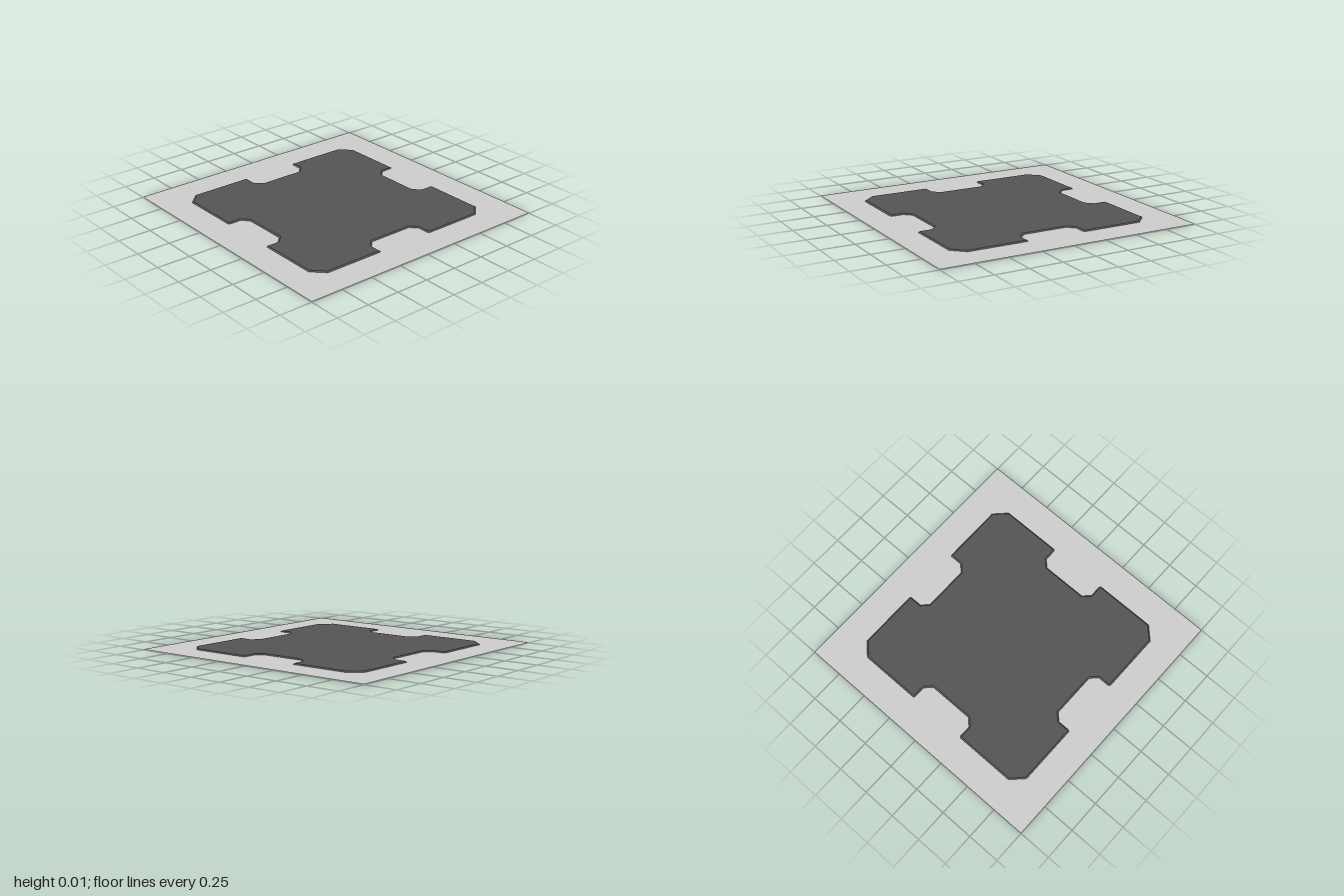
import * as THREE from 'three';

const WALL = 0.004; // height of the upright edge
const BEVEL = 0.008; // height of the sloped top edge

// One quarter of the plate outline: half a notch, a chamfered corner, half a notch
const QUARTER = [
  [0.625, 0.17], [0.675, 0.22], [0.765, 0.22], [0.775, 0.23], [0.775, 0.685],
  [0.685, 0.775], [0.23, 0.775], [0.22, 0.765], [0.22, 0.675], [0.17, 0.625],
];

function plateGeometry() {
  const points = [];
  for (let i = 0; i < 4; i++) {
    for (const [x, y] of QUARTER) {
      points.push(new THREE.Vector2(x, y).rotateAround(new THREE.Vector2(), i * Math.PI / 2));
    }
  }
  const geometry = new THREE.ExtrudeGeometry(new THREE.Shape(points), {
    depth: WALL, bevelThickness: BEVEL, bevelSize: 0.01, bevelOffset: -0.01, bevelSegments: 1,
  });
  // Flatten the lower bevel so that only the top edge slopes
  const position = geometry.attributes.position;
  for (let i = 0; i < position.count; i++) position.setZ(i, Math.max(0, position.getZ(i)));
  geometry.rotateX(-Math.PI / 2);
  geometry.computeVertexNormals();
  return geometry;
}

export function createModel() {
  const model = new THREE.Group();
  model.name = 'notchedFloorTile';

  // Dark notched plate with a bevelled rim
  const plate = new THREE.Mesh(
    plateGeometry(),
    new THREE.MeshStandardMaterial({ color: 0x545454 }),
  );
  plate.name = 'notchedPlate';
  model.add(plate);

  // Thin square sheet running through the plate
  const sheet = new THREE.Mesh(
    new THREE.PlaneGeometry(2, 2).rotateX(-Math.PI / 2),
    new THREE.MeshStandardMaterial({ color: 0xcccccc, side: THREE.DoubleSide }),
  );
  sheet.name = 'baseSheet';
  sheet.position.y = WALL;
  model.add(sheet);

  return model;
}
